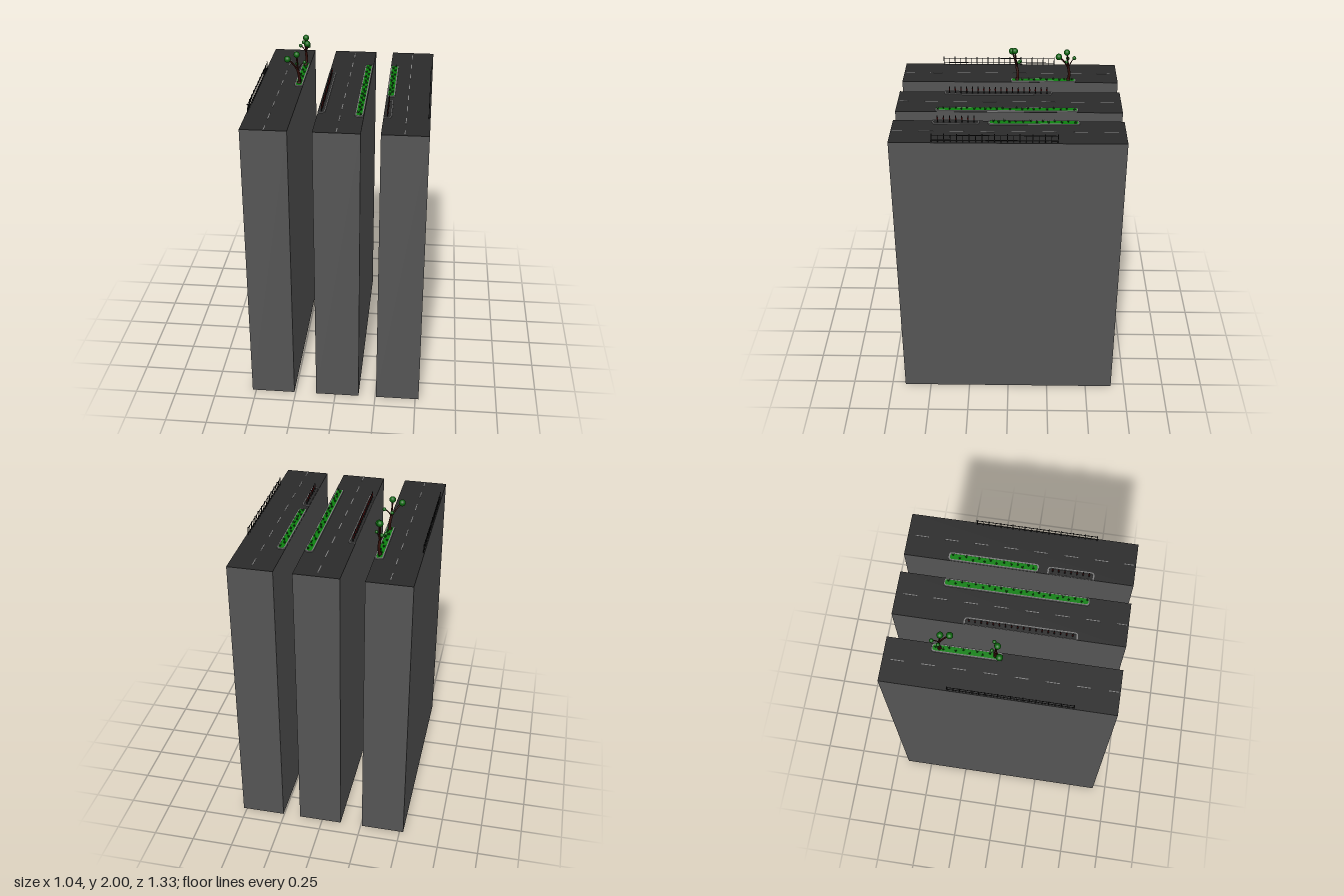
import * as THREE from 'three';

const mat = (name, color) => {
  const m = new THREE.MeshStandardMaterial({ color });
  m.name = name;
  return m;
};

export function createModel() {
  const concrete = mat('concrete', 0x555555);
  const asphalt = mat('asphalt', 0x2b2b2b);
  const kerbGrey = mat('kerbGrey', 0x7c7c7c);
  const paint = mat('roadPaint', 0x808080);
  const grass = mat('grass', 0x0c800f);
  const shrubGreen = mat('shrubGreen', 0x07480a);
  const leaf = mat('leaf', 0x0a640c);
  const bark = mat('bark', 0x330e08);
  const iron = mat('iron', 0x161616);
  const red = mat('red', 0x7a1414);

  const root = new THREE.Group();
  const TOP = 1.79, DEPTH = 1.33;

  const add = (name, geo, m, x = 0, y = 0, z = 0, parent = root) => {
    const mesh = new THREE.Mesh(geo, m);
    mesh.name = name;
    mesh.position.set(x, y, z);
    parent.add(mesh);
    return mesh;
  };
  const group = (name) => {
    const g = new THREE.Group();
    g.name = name;
    root.add(g);
    return g;
  };
  let seed = 7;
  const rand = () => (seed = (seed * 16807) % 2147483647) / 2147483647;

  // Rounded rectangle in plan; the left corners stay square when squareLeft is set
  function trace(p, x0, x1, z0, z1, r, squareLeft = false) {
    const l = squareLeft ? 0 : r;
    p.moveTo(x0 + l, z0);
    p.lineTo(x1 - r, z0);
    p.quadraticCurveTo(x1, z0, x1, z0 + r);
    p.lineTo(x1, z1 - r);
    p.quadraticCurveTo(x1, z1, x1 - r, z1);
    p.lineTo(x0 + l, z1);
    if (l) p.quadraticCurveTo(x0, z1, x0, z1 - l);
    p.lineTo(x0, z0 + l);
    if (l) p.quadraticCurveTo(x0, z0, x0 + l, z0);
    return p;
  }
  // Plan shapes use (x, z); stand them up so the extrusion rises along y
  function slab(shape, height) {
    const g = new THREE.ExtrudeGeometry(shape, { depth: height, bevelEnabled: false, curveSegments: 6 });
    return g.rotateX(Math.PI / 2).translate(0, height, 0);
  }

  // Three tall blocks, each with an asphalt top and a dashed centre line
  [[-0.523, -0.258, -0.389], [-0.12, 0.146, 0.012], [0.256, 0.521, 0.386]].forEach(([x0, x1, lane], i) => {
    const w = x1 - x0, cx = (x0 + x1) / 2;
    add('block' + i, new THREE.BoxGeometry(w, TOP - 0.003, DEPTH), concrete, cx, (TOP - 0.003) / 2, 0);
    add('road' + i, new THREE.BoxGeometry(w, 0.003, DEPTH), asphalt, cx, TOP - 0.0015, 0);
    const line = group('laneLine' + i);
    for (let k = 0; k < 8; k++) {
      const z0 = -0.622 + k * 0.1745, len = k === 7 ? 0.055 : 0.08;
      add('dash', new THREE.BoxGeometry(0.005, 0.001, len), paint, lane, TOP + 0.0005, z0 + len / 2, line);
    }
  });

  // Planted beds: kerb ring, grass and small spiky shrubs
  function bed(name, x0, x1, z0, z1) {
    const g = group(name), k = 0.008;
    const ring = trace(new THREE.Shape(), x0, x1, z0, z1, 0.019);
    ring.holes.push(trace(new THREE.Path(), x0 + k, x1 - k, z0 + k, z1 - k, 0.013));
    add('kerb', slab(ring, 0.007), kerbGrey, 0, TOP, 0, g);
    const lawn = trace(new THREE.Shape(), x0 + k, x1 - k, z0 + k, z1 - k, 0.013);
    add('lawn', slab(lawn, 0.006), grass, 0, TOP, 0, g);
    let side = 1;
    for (let z = z0 + 0.025; z < z1 - 0.015; z += 0.028 + rand() * 0.018) {
      const shrub = new THREE.Group();
      shrub.name = 'shrub';
      shrub.position.set((x0 + x1) / 2 + side * (0.002 + rand() * 0.008), TOP + 0.006, z);
      for (let j = 0; j < 3; j++) {
        const a = j * 2.094 + z * 20;
        const s = add('tuft', new THREE.ConeGeometry(0.0045, 0.016, 5), shrubGreen,
          Math.cos(a) * 0.004, 0.006, Math.sin(a) * 0.004, shrub);
        s.rotation.set(Math.sin(a) * 0.5, 0, -Math.cos(a) * 0.5);
      }
      g.add(shrub);
      side = -side;
    }
  }
  bed('treeBed', -0.309, -0.259, -0.407, -0.004);
  bed('middleBed', 0.094, 0.143, -0.407, 0.432);
  bed('sideBed', 0.257, 0.307, -0.407, 0.116);

  // Paved bays: kerb on three sides around a row of red-banded bollards
  function bay(name, x0, x1, z0, z1) {
    const g = group(name), k = 0.008;
    const kerb = new THREE.Shape();
    trace(kerb, x0, x1, z0, z1, 0.022, true);
    kerb.holes.push(trace(new THREE.Path(), x0 + 0.0005, x1 - k, z0 + k, z1 - k, 0.015, true));
    add('kerb', slab(kerb, 0.006), kerbGrey, 0, TOP, 0, g);
    const n = Math.round((z1 - z0 - 0.06) / 0.035);
    for (let i = 0; i <= n; i++) {
      const z = z0 + 0.03 + (i / n) * (z1 - z0 - 0.06), x = (x0 + x1) / 2 - 0.002;
      add('bollard', new THREE.CylinderGeometry(0.0028, 0.0035, 0.042, 8), iron, x, TOP + 0.021, z, g);
      add('bollardBand', new THREE.CylinderGeometry(0.004, 0.004, 0.012, 8), red, x, TOP + 0.024, z, g);
    }
  }
  bay('middleBay', -0.12, -0.078, -0.255, 0.392);
  bay('sideBay', 0.257, 0.302, 0.167, 0.437);

  // Iron railings along the two outer edges
  [-0.517, 0.511].forEach((x, i) => {
    const g = group(i ? 'leftRailing' : 'rightRailing');
    const z0 = -0.278, z1 = 0.424, n = 20;
    for (const y of [0.012, 0.042])
      add('rail', new THREE.BoxGeometry(0.003, 0.003, z1 - z0), iron, x, TOP + y, (z0 + z1) / 2, g);
    for (let k = 0; k <= n; k++) {
      const h = k % 2 ? 0.042 : 0.051;
      add('post', new THREE.BoxGeometry(0.004, h, k % 2 ? 0.003 : 0.005), iron,
        x, TOP + h / 2, z0 + (k / n) * (z1 - z0), g);
    }
  });

  // Trees: a curved trunk, a branch to each ball of leaves
  const V = (a) => new THREE.Vector3(...a);
  function tree(name, base, fork, balls) {
    const g = group(name), b = V(base), f = V(fork);
    const bend = b.clone().lerp(f, 0.5).add(new THREE.Vector3(0.004, 0, -0.006));
    const trunk = new THREE.CatmullRomCurve3([b, bend, f]);
    add('trunk', new THREE.TubeGeometry(trunk, 8, 0.0085, 7), bark, 0, 0, 0, g);
    add('trunkFoot', new THREE.CylinderGeometry(0.009, 0.014, 0.02, 7), bark, b.x, b.y + 0.01, b.z, g);
    balls.forEach(([x, y, z, r]) => {
      const tip = V([x, y, z]);
      const mid = f.clone().lerp(tip, 0.5);
      mid.y += 0.006;
      const start = f.clone().lerp(bend, 0.15);
      const branch = new THREE.CatmullRomCurve3([start, mid, tip]);
      add('branch', new THREE.TubeGeometry(branch, 6, r > 0.015 ? 0.005 : 0.003, 6), bark, 0, 0, 0, g);
      add('leafBall', new THREE.SphereGeometry(r, 14, 10), leaf, x, y, z, g);
    });
  }
  tree('frontTree', [-0.283, TOP, -0.045], [-0.291, 1.885, -0.04], [
    [-0.347, 1.957, -0.012, 0.02], [-0.293, 1.981, -0.03, 0.019],
    [-0.25, 1.926, -0.055, 0.011], [-0.297, 1.912, -0.062, 0.011]]);
  tree('backTree', [-0.283, TOP, -0.36], [-0.28, 1.885, -0.358], [
    [-0.263, 1.958, -0.298, 0.02], [-0.277, 1.981, -0.347, 0.019],
    [-0.313, 1.926, -0.355, 0.011], [-0.258, 1.927, -0.345, 0.01],
    [-0.298, 1.935, -0.394, 0.012]]);

  return root;
}
